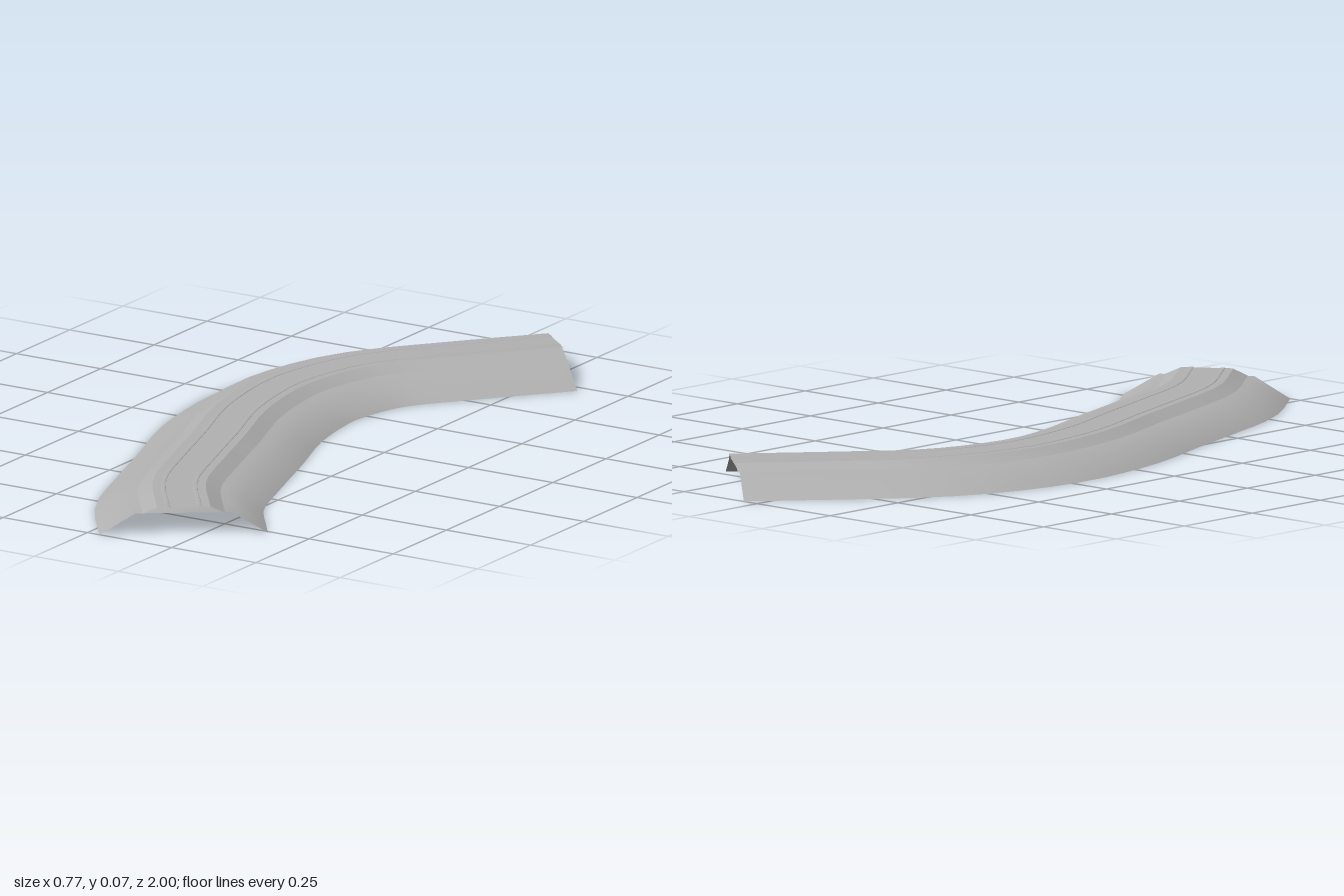
import * as THREE from 'three';

// Plan of the centre line, as [x, z]
const line = [
  [0.207, -0.86], [0.034, -0.66], [-0.097, -0.495], [-0.147, -0.379], [-0.175, -0.225], [-0.174, -0.15],
  [-0.139, 0.057], [-0.065, 0.274], [0.001, 0.478], [0.078, 0.69], [0.21, 0.88],
];
const curve = new THREE.CatmullRomCurve3(line.map(([x, z]) => new THREE.Vector3(x, 0, z)));
const STEPS = 28;

// Sweep an open [across, height] profile along the line; overhang lengthens both ends
function sweep(profile, overhang = 0) {
  const pos = [], index = [], n = profile.length;
  for (let i = 0; i <= STEPS; i++) {
    const p = curve.getPointAt(i / STEPS), t = curve.getTangentAt(i / STEPS);
    if (i === 0) p.addScaledVector(t, -overhang);
    if (i === STEPS) p.addScaledVector(t, overhang);
    for (const [u, y] of profile) pos.push(p.x + t.z * u, y, p.z - t.x * u);
    if (i === STEPS) break;
    for (let j = 0; j < n - 1; j++) {
      const a = i * n + j, b = a + 1, c = a + n, d = c + 1;
      index.push(a, c, b, b, c, d);
    }
  }
  const g = new THREE.BufferGeometry();
  g.setAttribute('position', new THREE.Float32BufferAttribute(pos, 3));
  g.setIndex(index);
  g.computeVertexNormals();
  return g;
}

export function createModel() {
  const group = new THREE.Group();
  const grey = new THREE.MeshStandardMaterial({ color: 0xb2b2b2, side: THREE.DoubleSide });
  grey.name = 'grey';
  const add = (name, profile, overhang) => {
    const mesh = new THREE.Mesh(sweep(profile, overhang), grey);
    mesh.name = name;
    group.add(mesh);
  };

  // Sloping embankment, open underneath
  add('embankment', [[-0.212, 0], [-0.121, 0.055], [0.121, 0.055], [0.212, 0]]);

  // Raised bed: flat top and two sloping sides, kept as separate strips for sharp edges
  add('bedTop', [[-0.067, 0.072], [0.067, 0.072]], 0.008);
  add('bedRightSide', [[-0.104, 0.055], [-0.067, 0.072]], 0.004);
  add('bedLeftSide', [[0.067, 0.072], [0.104, 0.055]], 0.004);

  // Two low rails set into the bed
  for (const [name, u] of [['rightRail', -0.04], ['leftRail', 0.04]]) {
    add(name, [[u - 0.006, 0.072], [u - 0.005, 0.0735], [u + 0.005, 0.0735], [u + 0.006, 0.072]], 0.008);
  }
  return group;
}
